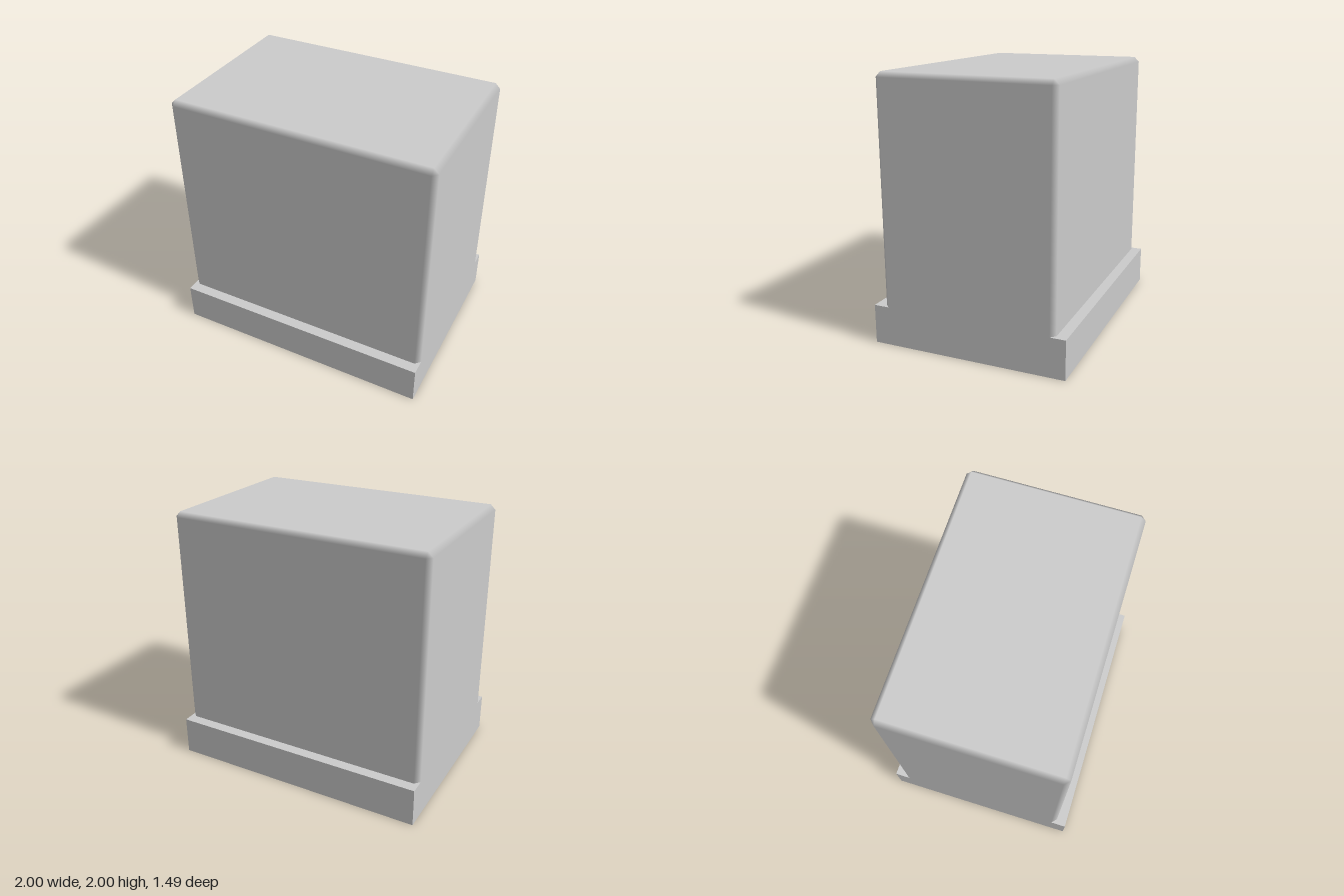
import * as THREE from 'three';

const BASE_H = 0.295;

// Box with one-step bevels whose normals blend between neighbouring faces.
// The bottom is cut off square, so only the top and upright edges are bevelled.
function bevelledBlock(width, height, depth, bevel) {
  const half = [width / 2, height / 2, depth / 2];
  const signs = [-1, 1];
  const positions = [], normals = [], index = [];
  const ids = new Map();

  // Corner s of the face that looks along the given axis
  const corner = (axis, s) => {
    const key = axis + ':' + s.join();
    if (!ids.has(key)) {
      ids.set(key, ids.size);
      const p = s.map((v, i) => v * (half[i] - (i === axis ? 0 : bevel)));
      if (s[1] < 0) p[1] = -half[1];
      positions.push(...p);
      normals.push(...s.map((v, i) => (i === axis ? v : 0)));
    }
    return ids.get(key);
  };

  // Triangle wound so that it faces along the given direction
  const at = (i) => new THREE.Vector3().fromArray(positions, i * 3);
  const triangle = (a, b, c, out) => {
    const n = at(b).sub(at(a)).cross(at(c).sub(at(a)));
    if (n.dot(out) >= 0) index.push(a, b, c);
    else index.push(a, c, b);
  };
  const quad = (a, b, c, d, out) => {
    triangle(a, b, c, out);
    triangle(a, c, d, out);
  };
  const place = (entries) => {
    const s = [0, 0, 0];
    for (const [axis, value] of entries) s[axis] = value;
    return s;
  };

  for (let i = 0; i < 3; i++) {
    const j = (i + 1) % 3, k = (i + 2) % 3;
    for (const si of signs) {
      // Flat face
      const f = (sj, sk) => corner(i, place([[i, si], [j, sj], [k, sk]]));
      quad(f(-1, -1), f(1, -1), f(1, 1), f(-1, 1), new THREE.Vector3(...place([[i, si]])));
      // Bevel strips shared with the next axis
      for (const sj of signs) {
        if ((i === 1 && si < 0) || (j === 1 && sj < 0)) continue;
        const e = (axis, sk) => corner(axis, place([[i, si], [j, sj], [k, sk]]));
        quad(e(i, -1), e(i, 1), e(j, 1), e(j, -1), new THREE.Vector3(...place([[i, si], [j, sj]])));
      }
    }
  }

  // Small triangles at the top corners
  for (const x of signs) for (const z of signs) {
    const s = [x, 1, z];
    triangle(corner(0, s), corner(1, s), corner(2, s), new THREE.Vector3(...s));
  }

  const geometry = new THREE.BufferGeometry();
  geometry.setAttribute('position', new THREE.Float32BufferAttribute(positions, 3));
  geometry.setAttribute('normal', new THREE.Float32BufferAttribute(normals, 3));
  geometry.setIndex(index);
  return geometry;
}

export function createModel() {
  const group = new THREE.Group();
  const material = new THREE.MeshStandardMaterial({ color: 0xcccccc });

  const add = (name, geometry, y) => {
    const mesh = new THREE.Mesh(geometry, material);
    mesh.name = name;
    mesh.position.y = y;
    group.add(mesh);
  };

  // Plinth, flush with the body at the sides and wider front to back
  add('base', new THREE.BoxGeometry(2, BASE_H, 1.49), BASE_H / 2);
  // Bevelled block standing on the plinth
  add('body', bevelledBlock(2, 2 - BASE_H, 1.33, 0.038), (2 + BASE_H) / 2);

  return group;
}
